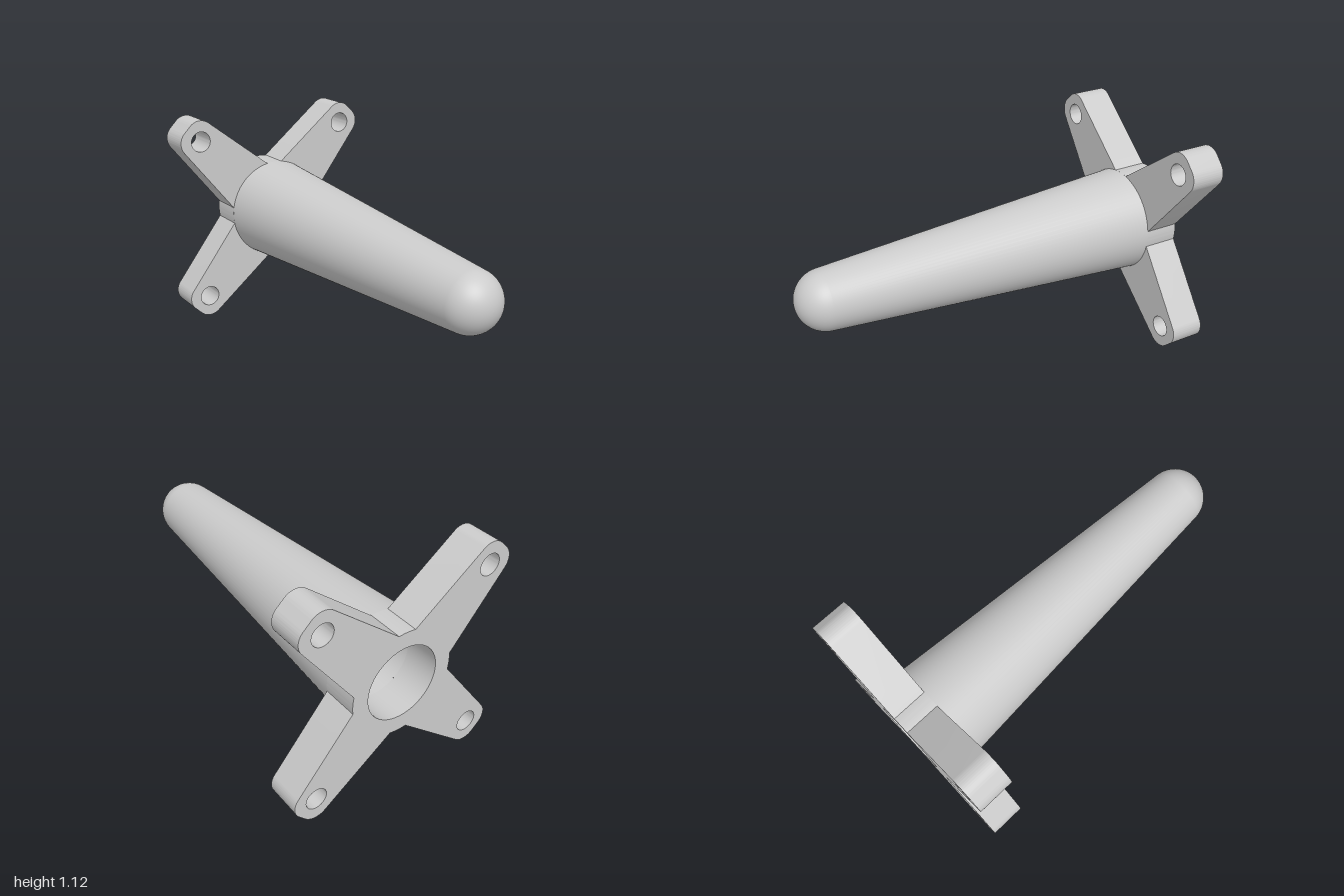
import * as THREE from 'three';
import { toCreasedNormals } from 'three/addons/utils/BufferGeometryUtils.js';

const CENTRE_Y = 0.56, BACK = -1, PLATE_FRONT = -0.82;
const HUB_R = 0.272, BORE_R = 0.19, HOLE_AT = 0.445, HOLE_R = 0.055;

// Outline of the four-armed flange: tapered arms with rounded tips, joined by hub arcs
function flangeShape() {
  const shape = new THREE.Shape();
  const tipR = 0.08, tipU = 0.654, tipV = 0.025;
  const sideNormal = THREE.MathUtils.degToRad(83.16);
  const rootAngle = THREE.MathUtils.degToRad(35.5);
  for (let k = 0; k < 4; k++) {
    const a = Math.PI / 4 + k * Math.PI / 2;
    const c = Math.cos(a), s = Math.sin(a);
    const corner = (v, from, to) =>
      shape.absarc(tipU * c - v * s, tipU * s + v * c, tipR, a + from, a + to, false);
    corner(-tipV, -sideNormal, 0);
    corner(tipV, 0, sideNormal);
    shape.absarc(0, 0, HUB_R, a + rootAngle, a + Math.PI / 2 - rootAngle, false);
  }
  shape.closePath();

  const addHole = (x, y, r) =>
    shape.holes.push(new THREE.Path().absarc(x, y, r, 0, Math.PI * 2, true));
  addHole(0, 0, BORE_R);
  for (const x of [-HOLE_AT, HOLE_AT])
    for (const y of [-HOLE_AT, HOLE_AT]) addHole(x, y, HOLE_R);
  return shape;
}

// Tapered profile ending in a tangent round tip, as [radius, position along z]
function taperProfile(baseR, tipR, tipZ) {
  const centre = tipZ - tipR;
  const tilt = Math.atan((baseR - tipR) / (centre - PLATE_FRONT));
  const points = [new THREE.Vector2(baseR, PLATE_FRONT)];
  const steps = 20;
  for (let i = 0; i <= steps; i++) {
    const t = tilt + (Math.PI / 2 - tilt) * i / steps;
    points.push(new THREE.Vector2(
      i === steps ? 0 : tipR * Math.cos(t), centre + tipR * Math.sin(t)));
  }
  return points;
}

export function createModel() {
  const group = new THREE.Group();
  const material = new THREE.MeshStandardMaterial({ color: 0xcccccc });
  const add = (name, geometry, z = 0) => {
    const mesh = new THREE.Mesh(geometry, material);
    mesh.name = name;
    mesh.position.set(0, CENTRE_Y, z);
    group.add(mesh);
  };
  const lathe = points => new THREE.LatheGeometry(points, 72).rotateX(Math.PI / 2);

  // Mounting flange with bolt holes and central bore
  const flange = new THREE.ExtrudeGeometry(flangeShape(), {
    depth: PLATE_FRONT - BACK, bevelEnabled: false, curveSegments: 24,
  });
  add('mountingFlange', toCreasedNormals(flange, Math.PI / 6), BACK);

  // Hollow spindle: outer skin, and inner wall with its faces turned inwards
  add('spindle', lathe(taperProfile(HUB_R, 0.153, 1)));
  add('spindleBore', lathe(taperProfile(BORE_R, 0.075, 0.92).reverse()));

  return group;
}
